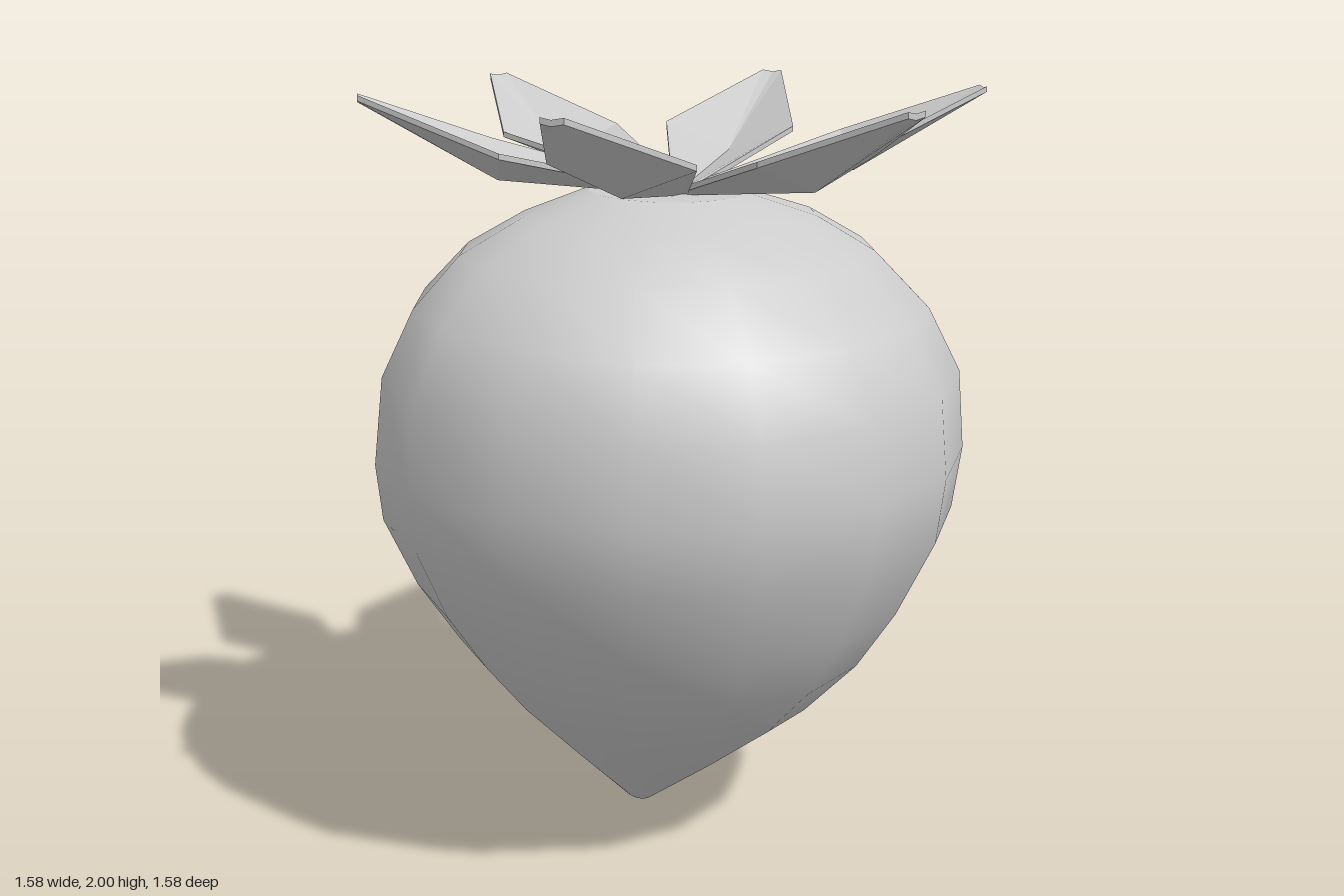
import * as THREE from 'three';

const material = (options = {}) => new THREE.MeshStandardMaterial({ color: 0xcccccc, ...options });

function buildGeometry(points, index) {
  const geometry = new THREE.BufferGeometry();
  geometry.setAttribute('position', new THREE.Float32BufferAttribute(points.flat(), 3));
  geometry.setIndex(index);
  geometry.computeVertexNormals();
  return geometry;
}

// Fruit cross-sections, top to bottom: left x, left y, right x, right y, half depth
const SIDES = 16;
const RINGS = [
  [-0.23, 1.76, 0.14, 1.74, 0.21],
  [-0.37, 1.70, 0.32, 1.68, 0.40],
  [-0.50, 1.62, 0.46, 1.59, 0.56],
  [-0.60, 1.51, 0.61, 1.44, 0.69],
  [-0.69, 1.34, 0.70, 1.28, 0.77],
  [-0.73, 1.10, 0.72, 1.08, 0.79],
  [-0.73, 0.96, 0.70, 0.91, 0.77],
  [-0.67, 0.78, 0.60, 0.70, 0.68],
  [-0.59, 0.61, 0.50, 0.54, 0.57],
  [-0.49, 0.45, 0.35, 0.38, 0.44],
  [-0.35, 0.23, 0.11, 0.19, 0.24],
  [-0.22, 0.02, -0.14, 0.00, 0.04],
];

// Tilted ring, fuller on its right half than on its left
function ringPoints([xL, yL, xR, yR, depth]) {
  const middle = (xL + xR) / 2 - 0.08 * depth;
  return Array.from({ length: SIDES }, (_, j) => {
    const t = (j / SIDES) * Math.PI * 2;
    const c = Math.cos(t);
    return [
      middle + c * (c > 0 ? xR - middle : middle - xL),
      (yL + yR) / 2 + (c * (yR - yL)) / 2,
      depth * Math.sin(t),
    ];
  });
}

function fruitSkin() {
  const index = [];
  for (let i = 0; i < RINGS.length - 1; i++) {
    for (let j = 0; j < SIDES; j++) {
      const next = (j + 1) % SIDES;
      const a = i * SIDES + j, b = i * SIDES + next;
      index.push(a, b, a + SIDES, b, b + SIDES, a + SIDES);
    }
  }
  return buildGeometry(RINGS.flatMap(ringPoints), index);
}

function fruitCap(ring, up) {
  const index = [];
  for (let j = 1; j < SIDES - 1; j++) index.push(0, up ? j + 1 : j, up ? j : j + 1);
  return buildGeometry(ringPoints(ring), index);
}

// Thin pointed leaf along +x, folded down the middle like a shallow V
function leafGeometry() {
  const thickness = 0.014;
  const top = [
    [0, 1.755, -0.02], [0, 1.752, 0], [0, 1.755, 0.02],
    [0.47, 1.875, -0.21], [0.46, 1.804, -0.025], [0.46, 1.875, 0.16],
    [0.79, 2.0, -0.03], [0.79, 1.995, 0], [0.79, 2.0, 0.025],
  ];
  const n = top.length;
  const bottom = top.map(([x, y, z]) => [x, y - thickness, z]);
  const index = [];
  for (const a of [0, 1, 3, 4]) {
    const b = a + 1, c = a + 4, d = a + 3;
    // split each panel from the keel so the fold stays crisp
    const faces = a % 3 === 0 ? [[a, b, d], [b, c, d]] : [[a, b, c], [a, c, d]];
    for (const [p, q, r] of faces) index.push(p, q, r, p + n, r + n, q + n);
  }
  const rim = [0, 1, 2, 5, 8, 7, 6, 3];
  rim.forEach((p, k) => {
    const q = rim[(k + 1) % rim.length];
    index.push(p + n, q + n, q, p + n, q, p);
  });
  return buildGeometry([...top, ...bottom], index);
}

export function createModel() {
  const model = new THREE.Group();
  model.name = 'berry';
  const add = (name, geometry, mat, parent = model) => {
    const mesh = new THREE.Mesh(geometry, mat);
    mesh.name = name;
    parent.add(mesh);
    return mesh;
  };

  // Fruit body with flat ends
  const fruit = new THREE.Group();
  fruit.name = 'fruit';
  model.add(fruit);
  const skin = material();
  add('fruitSkin', fruitSkin(), skin, fruit);
  add('fruitTop', fruitCap(RINGS[0], true), skin, fruit);
  add('fruitTip', fruitCap(RINGS[RINGS.length - 1], false), skin, fruit);

  // Crown of six leaves
  const crown = new THREE.Group();
  crown.name = 'leafCrown';
  model.add(crown);
  const leaf = leafGeometry();
  const leafMaterial = material({ flatShading: true });
  for (let i = 0; i < 6; i++) {
    add('leaf' + (i + 1), leaf, leafMaterial, crown).rotation.y = (i * Math.PI) / 3;
  }
  return model;
}
